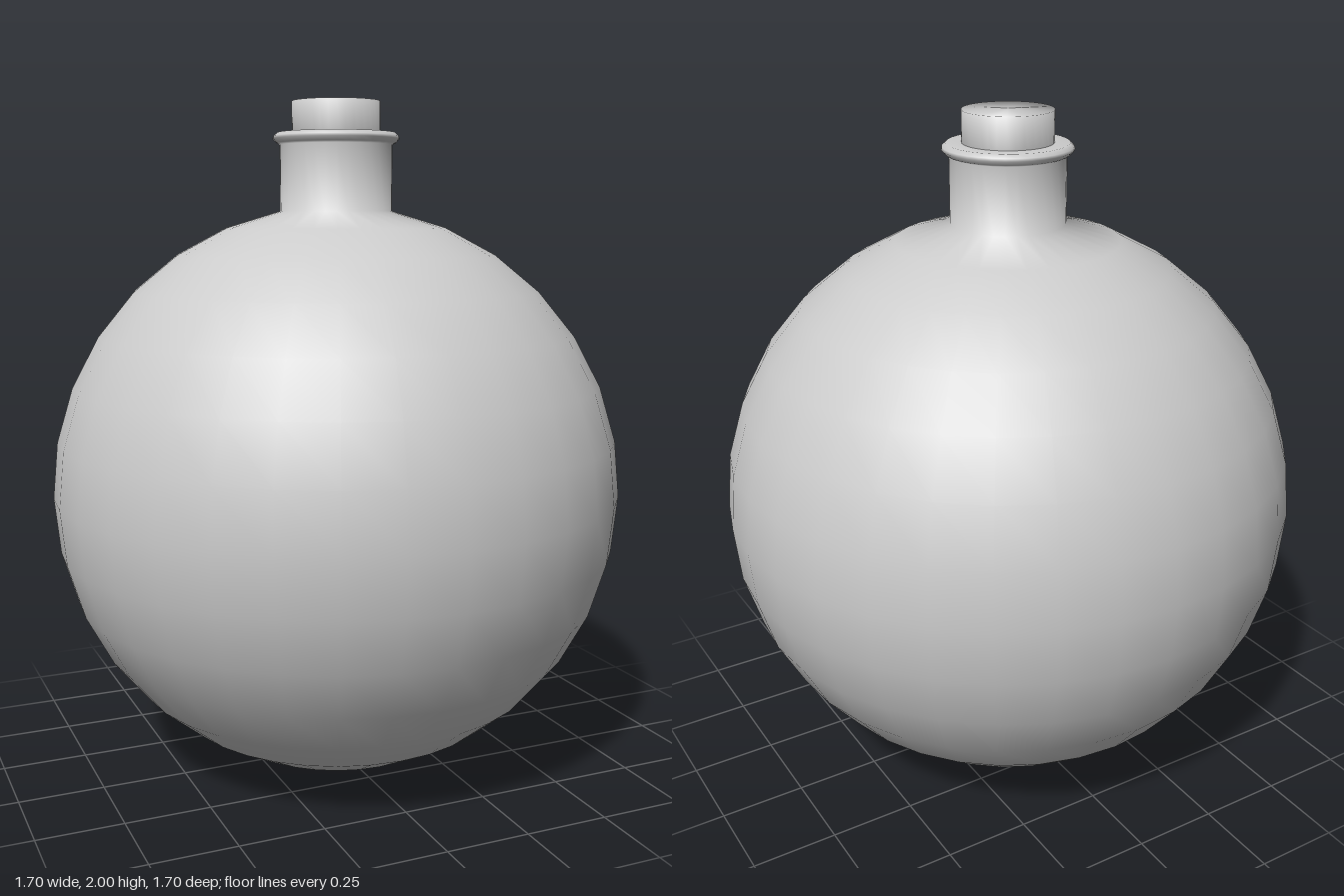
import * as THREE from 'three';

const SEGMENTS = 32;
const RADIUS = 0.85;

function lathe(name, points) {
  const profile = points.map(([r, y]) => new THREE.Vector2(r, y));
  const mesh = new THREE.Mesh(
    new THREE.LatheGeometry(profile, SEGMENTS),
    new THREE.MeshStandardMaterial({ color: 0xcccccc, side: THREE.DoubleSide })
  );
  mesh.name = name;
  return mesh;
}

export function createModel() {
  const model = new THREE.Group();
  model.name = 'roundFlask';

  // Spherical bulb, left open at the top row where the neck rises
  const flask = [];
  for (let i = 0; i < 16; i++) {
    const a = (i / 16) * Math.PI;
    flask.push([RADIUS * Math.sin(a), RADIUS * (1 - Math.cos(a))]);
  }

  // Straight neck, flared lip and flat rim closing in on the stopper
  flask.push([0.166, 1.875], [0.176, 1.88], [0.187, 1.892], [0.185, 1.9], [0.174, 1.91], [0.13, 1.91]);
  model.add(lathe('flaskBody', flask));

  // Stopper seated in the neck, with softly shaded top edge
  model.add(lathe('stopper', [[0, 1.8], [0.13, 1.8], [0.13, 2], [0, 2]]));

  return model;
}
